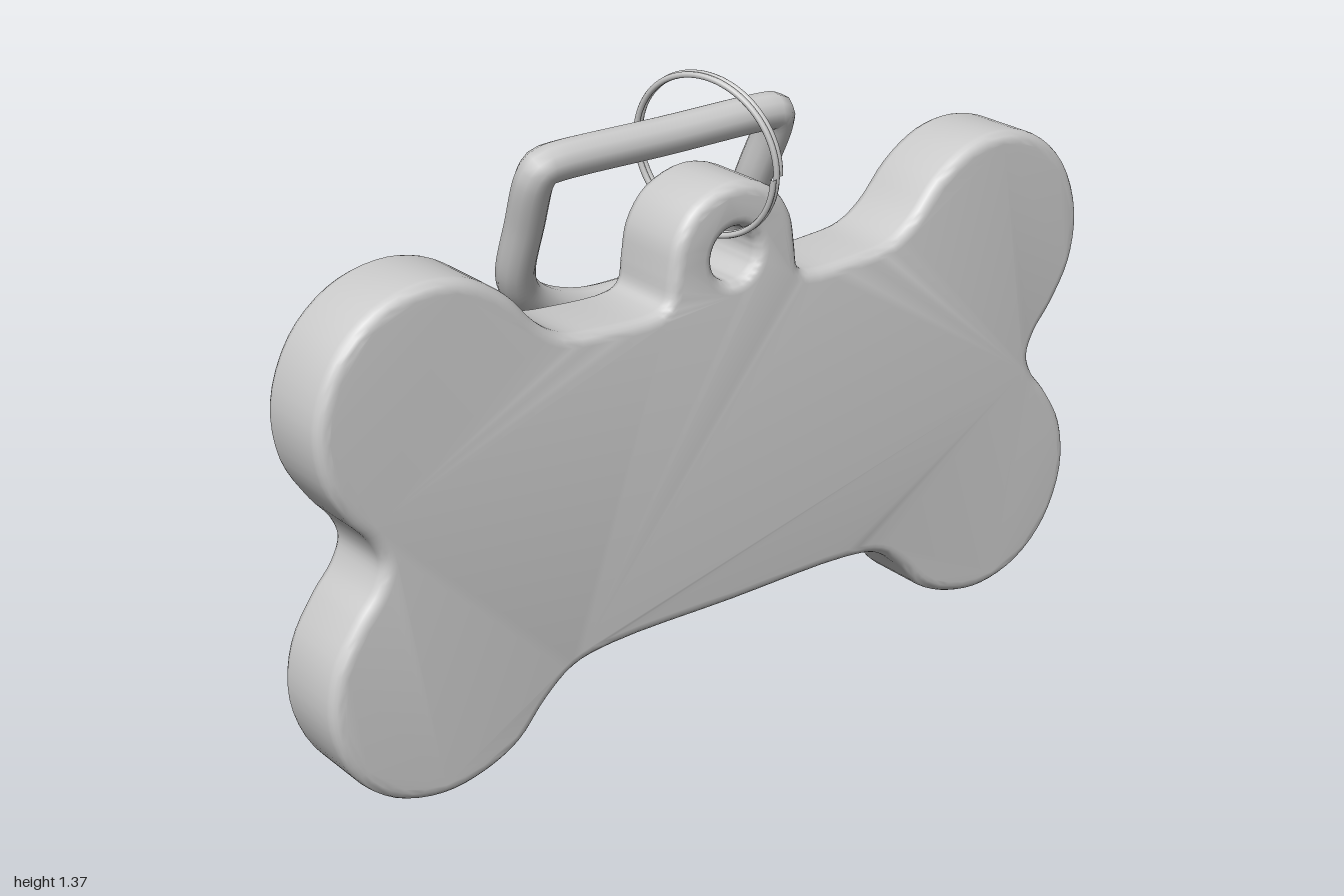
import * as THREE from 'three';
import { toCreasedNormals } from 'three/addons/utils/BufferGeometryUtils.js';

const material = new THREE.MeshStandardMaterial({ color: 0xcccccc });

function addMesh(parent, name, geometry) {
  const mesh = new THREE.Mesh(geometry, material);
  mesh.name = name;
  parent.add(mesh);
  return mesh;
}

// Mirror a half outline across x = 0 and return a closed smooth curve.
// The first and last points lie on the axis.
function mirroredLoop(half) {
  const other = half.slice(1, -1).reverse().map(([x, y]) => [-x, y]);
  const points = [...half, ...other].map(([x, y]) => new THREE.Vector3(x, y, 0));
  return new THREE.CatmullRomCurve3(points, true, 'centripetal');
}

// Bone-shaped plate with a pierced hanging tab and rounded edges
function boneTag() {
  const half = [
    [0, 0.205], [0.32, 0.205], [0.42, 0.187], [0.49, 0.135], [0.56, 0.06],
    [0.65, 0.018], [0.75, 0.005], [0.86, 0.035], [0.95, 0.115], [0.998, 0.24],
    [0.985, 0.36], [0.93, 0.455], [0.885, 0.51], [0.867, 0.56],
    [0.885, 0.61], [0.93, 0.665], [0.985, 0.76], [0.998, 0.88], [0.95, 1.005],
    [0.86, 1.085], [0.75, 1.115], [0.65, 1.1], [0.56, 1.045], [0.49, 0.97],
    [0.43, 0.933], [0.34, 0.921], [0.2, 0.92], [0.174, 0.935], [0.165, 0.985],
    [0.15, 1.06], [0.1, 1.125], [0, 1.157],
  ];
  const outline = mirroredLoop(half).getPoints(248).slice(0, -1);
  const shape = new THREE.Shape(outline.map((p) => new THREE.Vector2(p.x, p.y)));
  const hole = new THREE.Path().absarc(0, 1.0, 0.058, 0, Math.PI * 2, true);
  shape.holes.push(hole);
  const bevel = 0.027;
  const geometry = new THREE.ExtrudeGeometry(shape, {
    depth: 0.195 - 2 * bevel,
    bevelSize: bevel,
    bevelThickness: bevel,
    bevelOffset: -bevel,
    bevelSegments: 5,
    curveSegments: 24,
  });
  geometry.translate(0, 0, -0.03 + bevel);
  return toCreasedNormals(geometry, 0.7);
}

// Thin split ring: two turns of wire lying side by side
function splitRing() {
  class Coil extends THREE.Curve {
    getPoint(t, target = new THREE.Vector3()) {
      const a = t * Math.PI * 4;
      return target.set(0.173 * Math.cos(a), 0.173 * Math.sin(a), (t - 0.5) * 0.024);
    }
  }
  return new THREE.TubeGeometry(new Coil(), 160, 0.0065, 8, false);
}

// D-shaped buckle loop, straight bar on top
function dLoop() {
  const half = [
    [0, 0], [0.28, 0], [0.302, -0.006], [0.312, -0.03], [0.306, -0.15],
    [0.294, -0.29], [0.265, -0.35], [0.2, -0.405], [0.1, -0.445], [0, -0.455],
  ];
  return new THREE.TubeGeometry(mirroredLoop(half), 144, 0.042, 12, true);
}

export function createModel() {
  const model = new THREE.Group();
  model.name = 'boneTagWithRings';

  addMesh(model, 'boneTag', boneTag());

  const ring = addMesh(model, 'splitRing', splitRing());
  ring.position.set(-0.015, 1.198, 0.08);
  ring.quaternion.setFromUnitVectors(
    new THREE.Vector3(0, 0, 1),
    new THREE.Vector3(-0.95, -0.106, 0.267).normalize(),
  );

  const loop = addMesh(model, 'dLoop', dLoop());
  loop.position.set(-0.037, 1.212, -0.037);
  loop.rotation.x = 0.415;

  return model;
}
